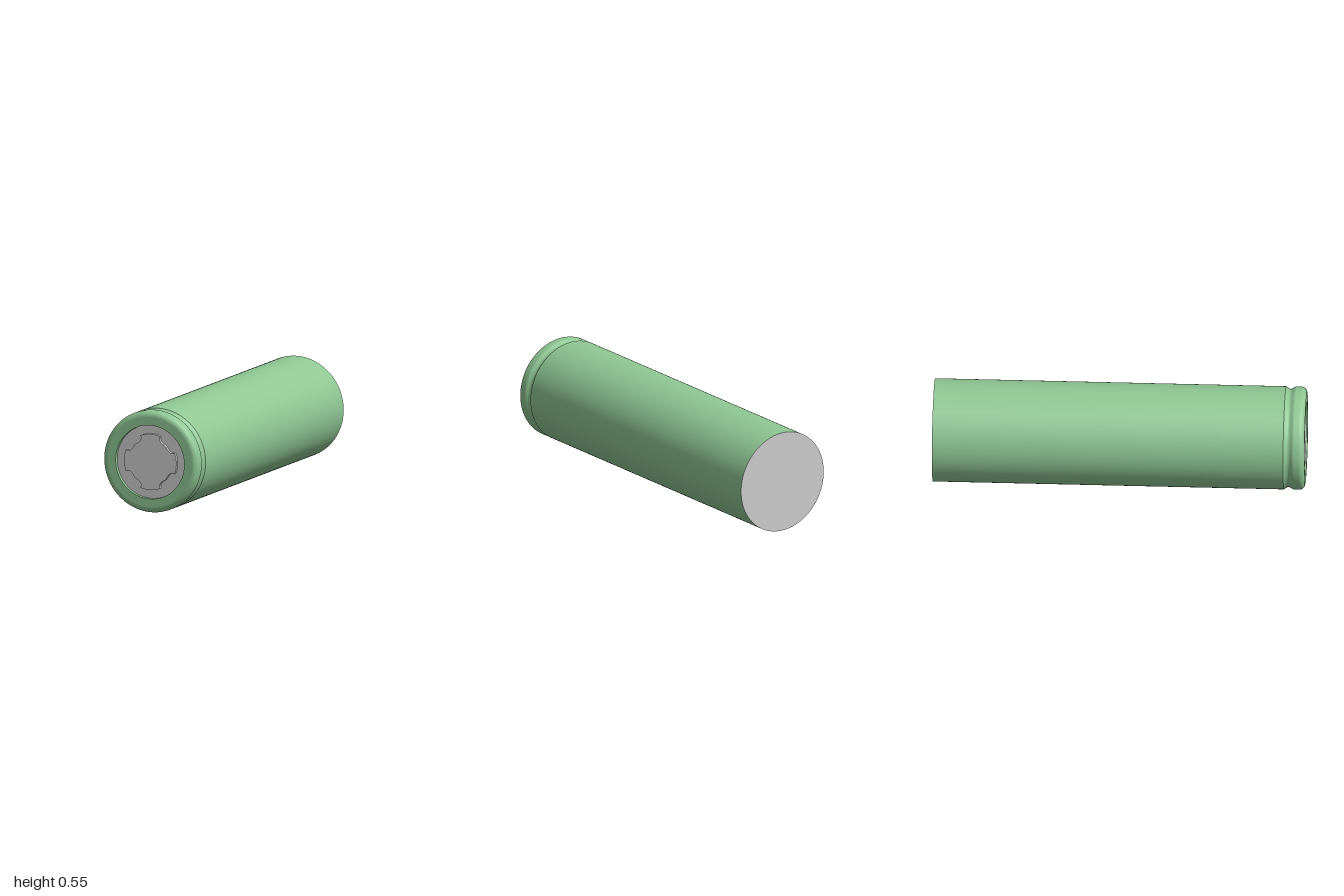
import * as THREE from 'three';

const R = 0.277;        // outer radius
const HOLE = 0.2;       // opening in the front of the sleeve
const PLATE_Z = 0.978;  // recessed front plate
const BUTTON_Z = 0.996; // top of the terminal button

const green = new THREE.MeshStandardMaterial({ color: 0x8fc793, side: THREE.DoubleSide });
const grey = new THREE.MeshStandardMaterial({ color: 0xcccccc });

// Revolve [radius, z] points around the long axis
function revolve(name, points) {
  const geometry = new THREE.LatheGeometry(points.map(([r, z]) => new THREE.Vector2(r, z)), 128);
  geometry.rotateX(Math.PI / 2);
  const mesh = new THREE.Mesh(geometry, green);
  mesh.name = name;
  return mesh;
}

function disc(name, radius, z, facing) {
  const mesh = new THREE.Mesh(new THREE.CircleGeometry(radius, 128), grey);
  mesh.name = name;
  mesh.position.z = z;
  if (facing < 0) mesh.rotation.y = Math.PI;
  return mesh;
}

// Crimped groove, rounded shoulder and flat front ring
function rimProfile() {
  const points = [];
  const z0 = 0.887, z1 = 0.943, depth = 0.013;
  for (let i = 0; i <= 16; i++) {
    const t = i / 16;
    // sharp on the body side, blending smoothly into the shoulder
    const dip = t < 0.45 ? Math.sin((t / 0.45) * Math.PI / 2)
      : 0.5 + 0.5 * Math.cos(((t - 0.45) / 0.55) * Math.PI);
    points.push([R - depth * dip, z0 + (z1 - z0) * t]);
  }
  const f = 0.032;
  for (let i = 0; i <= 12; i++) {
    const a = (i / 12) * Math.PI / 2;
    points.push([R - f + f * Math.cos(a), 1 - f + f * Math.sin(a)]);
  }
  points.push([R - f - 0.004, 1], [HOLE, 1]);
  return points;
}

// Round button with a vent notch on each diagonal
function terminalButton() {
  const radius = 0.153;
  const notch = new THREE.CatmullRomCurve3([
    [0.142, 0.057], [0.125, 0.054], [0.108, 0.064], [0.09, 0.09],
    [0.064, 0.108], [0.054, 0.125], [0.057, 0.142],
  ].map(([x, y]) => new THREE.Vector3(x, y, 0))).getPoints(24);
  const start = Math.atan2(0.057, 0.142);
  const outline = [];
  for (let q = 0; q < 4; q++) {
    const turn = q * Math.PI / 2;
    for (let i = 0; i < 16; i++) {
      const a = turn - start + (i / 16) * 2 * start;
      outline.push(new THREE.Vector2(radius * Math.cos(a), radius * Math.sin(a)));
    }
    for (const p of notch) {
      outline.push(new THREE.Vector2(p.x, p.y).rotateAround(new THREE.Vector2(), turn));
    }
  }
  const geometry = new THREE.ExtrudeGeometry(new THREE.Shape(outline), {
    depth: BUTTON_Z - PLATE_Z, bevelEnabled: false,
  });
  const mesh = new THREE.Mesh(geometry, grey);
  mesh.name = 'terminalButton';
  mesh.position.z = PLATE_Z;
  return mesh;
}

export function createModel() {
  const model = new THREE.Group();
  model.name = 'batteryCell';

  const sleeve = new THREE.Group();
  sleeve.name = 'sleeve';
  sleeve.add(
    revolve('sleeveBody', [[R, -1], [R, 0.887]]),
    revolve('sleeveRim', rimProfile()),
    revolve('sleeveInnerLip', [[HOLE, 1], [HOLE, PLATE_Z]]),
  );

  model.add(
    sleeve,
    disc('frontPlate', HOLE, PLATE_Z, 1),
    terminalButton(),
    disc('backPlate', R, -1, -1),
  );
  for (const part of model.children) part.position.y = R;
  return model;
}
